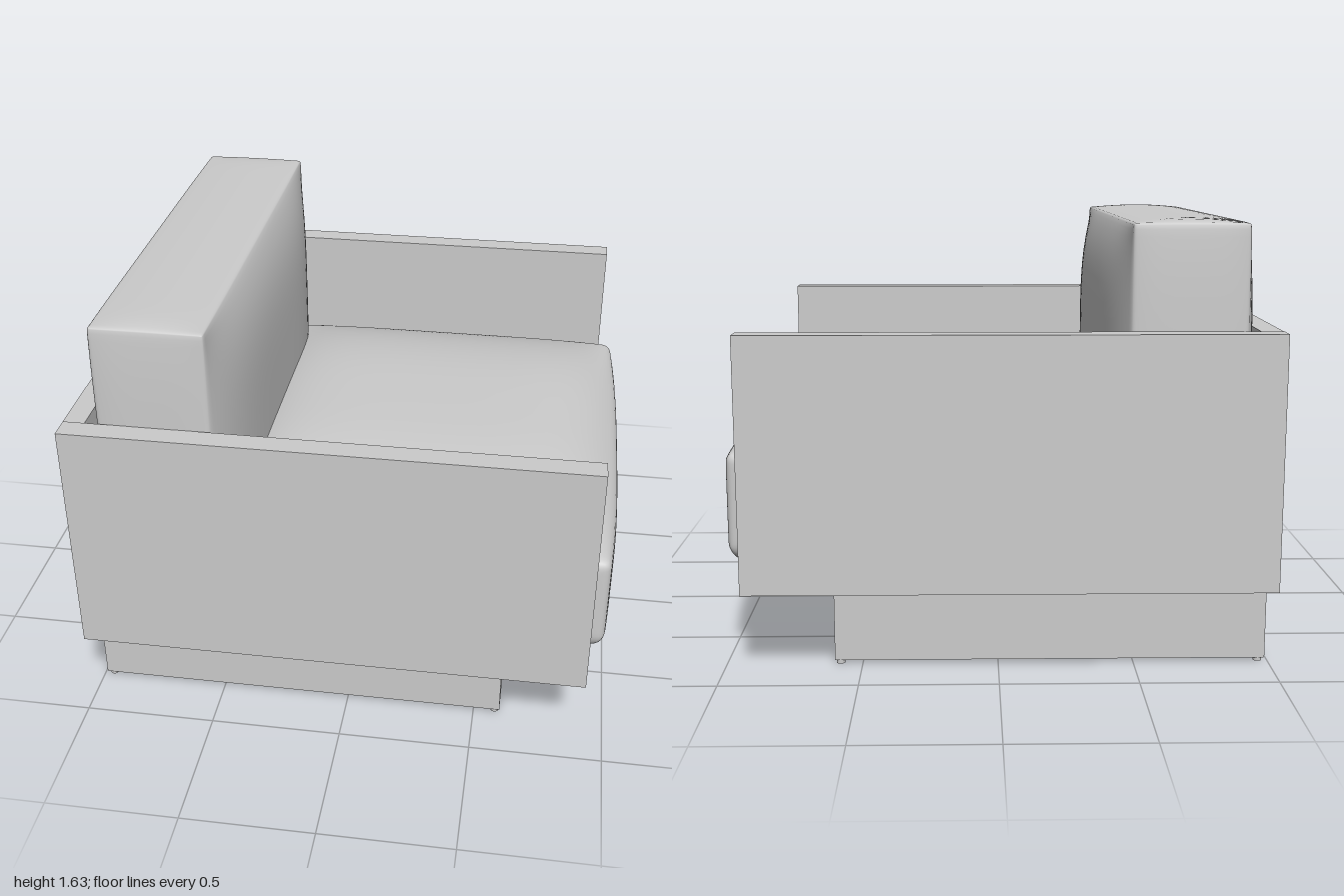
import * as THREE from 'three';
import { mergeVertices } from 'three/addons/utils/BufferGeometryUtils.js';

const material = new THREE.MeshStandardMaterial({ color: 0xcccccc });

// Box given by its minimum and maximum on each axis
function slab(name, [x0, x1], [y0, y1], [z0, z1]) {
  const mesh = new THREE.Mesh(new THREE.BoxGeometry(x1 - x0, y1 - y0, z1 - z0), material);
  mesh.position.set((x0 + x1) / 2, (y0 + y1) / 2, (z0 + z1) / 2);
  mesh.name = name;
  return mesh;
}

// Rounded box whose faces swell outwards and fade to nothing at their borders.
// swell holds [amount, powers along x, y, z] for each face; a higher power gives a fuller face.
function cushion(name, center, half, radius, swell) {
  const box = new THREE.BoxGeometry(2, 2, 2, 40, 24, 40);
  box.deleteAttribute('uv');
  box.deleteAttribute('normal');
  const geometry = mergeVertices(box, 1e-4);
  const pos = geometry.attributes.position;
  const h = new THREE.Vector3(...half);
  const inner = h.clone().subScalar(radius);
  const p = new THREE.Vector3(), core = new THREE.Vector3();
  for (let i = 0; i < pos.count; i++) {
    // Crowd the grid towards the edges, then round them
    p.fromBufferAttribute(pos, i);
    p.set(...p.toArray().map((u) => Math.sin(u * Math.PI / 2))).multiply(h);
    core.copy(p).clamp(inner.clone().negate(), inner);
    p.sub(core).setLength(radius).add(core);
    const q = p.clone().divide(h).toArray();
    const faces = [swell.x, q[1] > 0 ? swell.top : swell.bottom, swell.z];
    const out = p.toArray().map((v, a) => {
      const [amount, powers] = faces[a];
      const fade = (b) => 1 - Math.abs(q[b]) ** powers[b];
      return v + amount * q[a] * fade((a + 1) % 3) * fade((a + 2) % 3);
    });
    pos.setXYZ(i, ...out);
  }
  geometry.computeVertexNormals();
  const mesh = new THREE.Mesh(geometry, material);
  mesh.position.set(...center);
  mesh.name = name;
  return mesh;
}

export function createModel() {
  const chair = new THREE.Group();
  chair.name = 'armchair';

  // Shell: two arm panels, back panel, deck and front rail; the seat opens towards +x
  const base = 0.318;
  for (const s of [-1, 1]) {
    const z = s > 0 ? [0.875, 0.96] : [-0.96, -0.875];
    chair.add(slab('armPanel', [-0.997, 0.917], [base, 1.243], z));
  }
  chair.add(slab('backPanel', [-1, -0.92], [base, 1.24], [-0.875, 0.875]));
  chair.add(slab('deck', [-0.92, 0.835], [base, 0.335], [-0.875, 0.875]));
  chair.add(slab('frontRail', [0.835, 0.915], [base, 0.4], [-0.875, 0.875]));

  // Hollow plinth, open at the bottom
  const plinth = new THREE.Group();
  plinth.name = 'plinth';
  const wall = 0.02, y = [0.015, base];
  plinth.add(slab('plinthBack', [-0.988, -0.988 + wall], y, [-0.795, 0.795]));
  plinth.add(slab('plinthFront', [0.602 - wall, 0.602], y, [-0.795, 0.795]));
  plinth.add(slab('plinthSide', [-0.988 + wall, 0.602 - wall], y, [0.795 - wall, 0.795]));
  plinth.add(slab('plinthSide', [-0.988 + wall, 0.602 - wall], y, [-0.795, -0.795 + wall]));
  chair.add(plinth);

  // Small round feet under the plinth corners
  for (const x of [-0.965, 0.582]) {
    for (const z of [-0.775, 0.775]) {
      const foot = new THREE.Mesh(new THREE.CylinderGeometry(0.016, 0.016, 0.02, 16), material);
      foot.position.set(x, 0.01, z);
      foot.name = 'foot';
      chair.add(foot);
    }
  }

  // Upholstery: the seat has a crowned top and a full, flat belly hanging over the front rail
  chair.add(cushion('seatCushion', [0.22, 0.625, 0], [0.75, 0.185, 0.857], 0.035, {
    x: [0.03, [1, 8, 3]], z: [0.017, [3, 6, 1]],
    top: [0.14, [5, 1, 3.2]], bottom: [0.11, [28, 1, 9]],
  }));
  chair.add(cushion('backCushion', [-0.67, 1.0, 0], [0.205, 0.617, 0.864], 0.012, {
    x: [0.075, [1, 4.5, 4.5]], z: [0.012, [4, 4, 1]],
    top: [0.014, [2, 1, 20]], bottom: [0.014, [2, 1, 20]],
  }));

  return chair;
}
